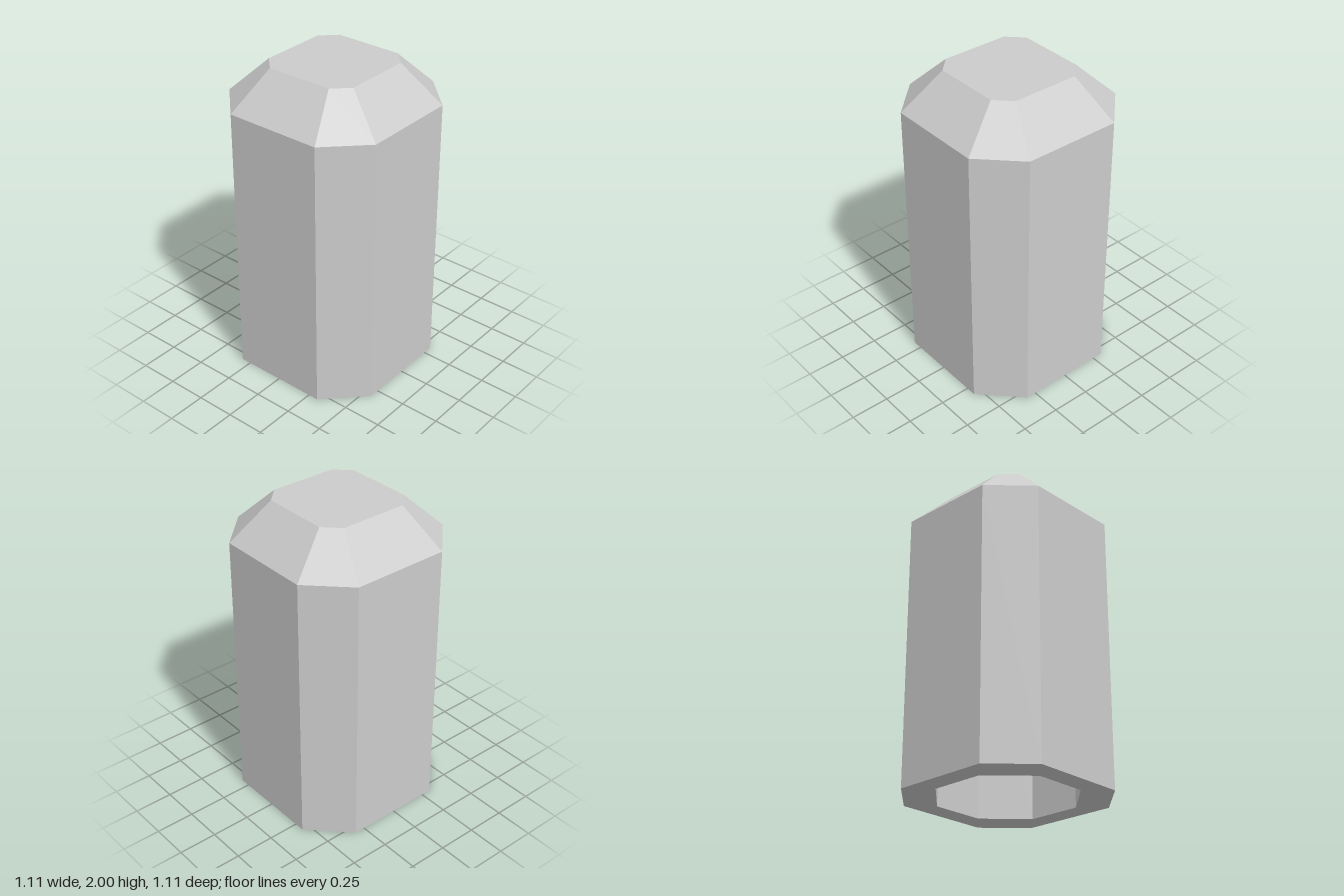
import * as THREE from 'three';

// Chamfered square ring: a = half width, b = half length of the straight side
function ring([a, b, y]) {
  return [[a, -b], [a, b], [b, a], [-b, a], [-a, b], [-a, -b], [-b, -a], [b, -a]]
    .map(([x, z]) => new THREE.Vector3(x, y, z));
}

// Joins successive rings with flat facets
function loft(sections) {
  const rings = sections.map(ring);
  const points = [];
  for (let r = 0; r < rings.length - 1; r++) {
    const p = rings[r], q = rings[r + 1];
    for (let i = 0; i < 8; i++) {
      const j = (i + 1) % 8;
      if (sections[r][0] > 0) points.push(p[i], q[j], p[j]);
      if (sections[r + 1][0] > 0) points.push(p[i], q[i], q[j]);
    }
  }
  const geometry = new THREE.BufferGeometry().setFromPoints(points);
  geometry.computeVertexNormals();
  return geometry;
}

export function createModel() {
  const group = new THREE.Group();
  group.name = 'hollowCap';
  const material = new THREE.MeshStandardMaterial({ color: 0xcccccc, flatShading: true });
  const add = (name, sections) => {
    const mesh = new THREE.Mesh(loft(sections), material);
    mesh.name = name;
    group.add(mesh);
  };

  // Outer walls, sloped shoulder and flat top
  add('outerShell', [[0.553, 0.315, 0], [0.553, 0.315, 1.765], [0.315, 0.218, 2], [0, 0, 2]]);
  // Cavity open at the bottom, from its ceiling down to the rim
  add('cavity', [[0, 0, 1.86], [0.175, 0.08, 1.86], [0.413, 0.175, 1.625], [0.413, 0.175, 0]]);
  // Flat rim around the opening
  add('bottomRim', [[0.413, 0.175, 0], [0.553, 0.315, 0]]);

  return group;
}
